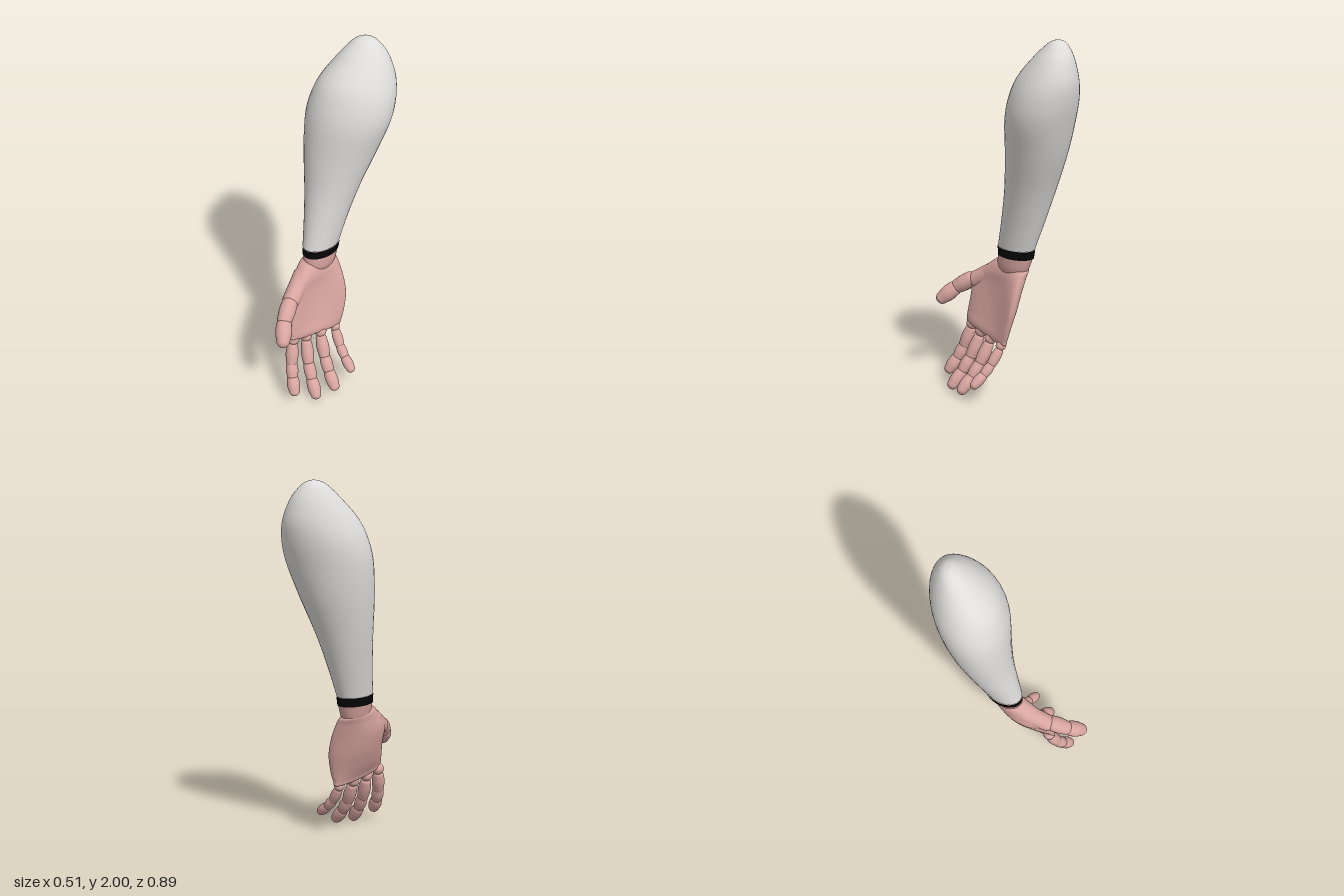
import * as THREE from 'three';

const V = (x, y, z) => new THREE.Vector3(x, y, z);

// Smooth skin through closed rings listed from bottom to top
function loft(rings, steps) {
  const n = rings[0].length, pos = [], idx = [];
  const columns = rings[0].map((_, i) =>
    new THREE.CatmullRomCurve3(rings.map((r) => r[i]), false, 'catmullrom', 0.5));
  for (let j = 0; j <= steps; j++) {
    for (const c of columns) pos.push(...c.getPoint(j / steps).toArray());
  }
  for (let j = 0; j < steps; j++) {
    for (let i = 0; i < n; i++) {
      const a = j * n + i, b = j * n + (i + 1) % n;
      idx.push(a, a + n, b, b, a + n, b + n);
    }
  }
  const g = new THREE.BufferGeometry();
  g.setAttribute('position', new THREE.Float32BufferAttribute(pos, 3));
  g.setIndex(idx);
  g.computeVertexNormals();
  return g;
}

// Ellipse fitted between x and z limits, slanting more towards the elbow
function ovalRing([y, x0, x1, z0, z1], n = 40) {
  const ring = [], skew = 0.22 * THREE.MathUtils.smoothstep(y, 0.8, 1.6) - 0.02;
  for (let i = 0; i < n; i++) {
    const t = (i / n) * Math.PI * 2;
    ring.push(V((x0 + x1) / 2 + (x1 - x0) / 2 * Math.cos(t), y,
      (z0 + z1) / 2 + (z1 - z0) / 2 * Math.sin(t - skew)));
  }
  return ring;
}

// Cupped, rounded slab section from back edge to front edge of the palm
function palmRing([back, front, half, bend], n = 40) {
  const ring = [], mid = back.clone().lerp(front, 0.5);
  const chord = front.clone().sub(back).multiplyScalar(0.5);
  const soft = (v, p) => Math.sign(v) * Math.abs(v) ** p;
  for (let i = 0; i < n; i++) {
    const t = (i / n) * Math.PI * 2;
    const s = soft(Math.sin(t), 0.85), c = soft(Math.cos(t), 0.8);
    const p = mid.clone().addScaledVector(chord, s);
    p.x += half * c - bend * (1 - s * s);
    ring.push(p);
  }
  return ring;
}

// Tapered capsule between two points, swelling slightly in the middle
function segment(p, q, r1, r2, swell = 0) {
  const dir = q.clone().sub(p), len = dir.length(), pts = [];
  for (let i = 0; i <= 8; i++) {
    const a = -Math.PI / 2 + (i / 8) * Math.PI / 2;
    pts.push(new THREE.Vector2(Math.max(0, r1 * Math.cos(a)), r1 * Math.sin(a)));
  }
  for (let i = 1; i < 6; i++) {
    const f = i / 6;
    pts.push(new THREE.Vector2(r1 + (r2 - r1) * f + swell * Math.sin(f * Math.PI), len * f));
  }
  for (let i = 0; i <= 8; i++) {
    const a = (i / 8) * Math.PI / 2;
    pts.push(new THREE.Vector2(i === 8 ? 0 : r2 * Math.cos(a), len + r2 * Math.sin(a)));
  }
  const g = new THREE.LatheGeometry(pts, 20);
  g.applyQuaternion(new THREE.Quaternion().setFromUnitVectors(V(0, 1, 0), dir.normalize()));
  g.translate(p.x, p.y, p.z);
  return g;
}

export function createModel() {
  const model = new THREE.Group();
  model.name = 'forearmAndHand';
  const mat = (name, color) => {
    const m = new THREE.MeshStandardMaterial({ color });
    m.name = name;
    return m;
  };
  const white = mat('sleeveWhite', 0xdedddb);
  const black = mat('bandBlack', 0x050505);
  const skin = mat('skinPink', 0xd8a5a0);
  const add = (name, geometry, material, parent = model) => {
    const m = new THREE.Mesh(geometry, material);
    m.name = name;
    parent.add(m);
    return m;
  };

  // Sleeve: y, then x and z limits
  add('sleeve', loft([
    [0.85, -0.138, 0.025, -0.135, 0.097],
    [1.02, -0.172, 0.044, -0.197, 0.065],
    [1.2, -0.208, 0.073, -0.264, 0.037],
    [1.4, -0.24, 0.118, -0.345, 0.02],
    [1.58, -0.254, 0.16, -0.405, 0.002],
    [1.7, -0.242, 0.157, -0.436, -0.028],
    [1.8, -0.208, 0.127, -0.445, -0.075],
    [1.9, -0.158, 0.072, -0.422, -0.17],
    [1.96, -0.12, 0.022, -0.387, -0.237],
    [1.988, -0.09, -0.012, -0.357, -0.278],
    [2.0, -0.052, -0.052, -0.32, -0.32],
  ].map((r) => ovalRing(r)), 60), white);

  // Wrist band
  add('wristBand', loft([
    [0.8, -0.134, 0.023, -0.13, 0.1],
    [0.85, -0.14, 0.027, -0.137, 0.099],
  ].map((r) => ovalRing(r)), 2), black);

  // Wrist running into the palm
  add('wrist', loft([
    [0.66, -0.085, -0.015, -0.06, 0.06],
    [0.73, -0.114, 0.016, -0.1, 0.096],
    [0.802, -0.131, 0.021, -0.126, 0.098],
  ].map((r) => ovalRing(r)), 8), skin);

  // Palm: back edge, front edge, half thickness, cupping
  const hand = new THREE.Group();
  hand.name = 'hand';
  model.add(hand);
  add('palm', loft([
    [V(0.045, 0.32, 0.1), V(0.045, 0.33, 0.14), 0.002, 0.005],
    [V(0.058, 0.31, -0.04), V(0.03, 0.36, 0.278), 0.027, 0.01],
    [V(0.06, 0.34, -0.06), V(0.03, 0.39, 0.287), 0.037, 0.016],
    [V(0.06, 0.41, -0.082), V(0.025, 0.44, 0.28), 0.046, 0.038],
    [V(0.048, 0.51, -0.105), V(0.014, 0.53, 0.265), 0.056, 0.056],
    [V(0.018, 0.61, -0.11), V(-0.004, 0.635, 0.26), 0.063, 0.054],
    [V(-0.02, 0.69, -0.108), V(-0.03, 0.705, 0.185), 0.064, 0.026],
    [V(-0.048, 0.73, -0.1), V(-0.055, 0.765, 0.11), 0.055, 0.008],
    [V(-0.05, 0.745, -0.04), V(-0.055, 0.765, 0.06), 0.02, 0],
  ].map((r) => palmRing(r)), 48), skin, hand);

  // Fingers: knuckle, centre of the tip, radius
  const fingers = {
    indexFinger: [V(0.02, 0.35, 0.26), V(0.122, 0.075, 0.345), 0.034],
    middleFinger: [V(0.03, 0.33, 0.174), V(0.188, 0.031, 0.243), 0.034],
    ringFinger: [V(0.045, 0.318, 0.08), V(0.217, 0.044, 0.129), 0.034],
    littleFinger: [V(0.06, 0.305, -0.018), V(0.228, 0.113, 0.013), 0.028],
  };
  for (const [name, [knuckle, tip, r]] of Object.entries(fingers)) {
    const finger = new THREE.Group();
    finger.name = name;
    hand.add(finger);
    const at = (f) => {
      const p = knuckle.clone().lerp(tip, f);
      p.x -= 0.07 * f * (1 - f);
      p.y -= 0.04 * f * (1 - f);
      return p;
    };
    add('knuckle', new THREE.SphereGeometry(r * 1.02, 20, 14), skin, finger)
      .position.copy(knuckle);
    add('innerSegment', segment(at(0.14), at(0.43), r * 0.93, r * 0.95, r * 0.12), skin, finger);
    add('middleSegment', segment(at(0.5), at(0.7), r * 0.93, r * 0.93, r * 0.1), skin, finger);
    add('fingertip', segment(at(0.79), tip, r, r * 0.9, r * 0.12), skin, finger);
  }

  // Thumb
  const thumb = new THREE.Group();
  thumb.name = 'thumb';
  hand.add(thumb);
  add('thumbBase', segment(V(-0.05, 0.69, 0.125), V(-0.004, 0.612, 0.248), 0.052, 0.048), skin, thumb);
  add('thumbSegment', segment(V(0.015, 0.605, 0.28), V(0.05, 0.56, 0.343), 0.045, 0.041, 0.003), skin, thumb);
  add('thumbTip', segment(V(0.068, 0.54, 0.364), V(0.113, 0.487, 0.409), 0.043, 0.037, 0.005), skin, thumb);

  return model;
}
